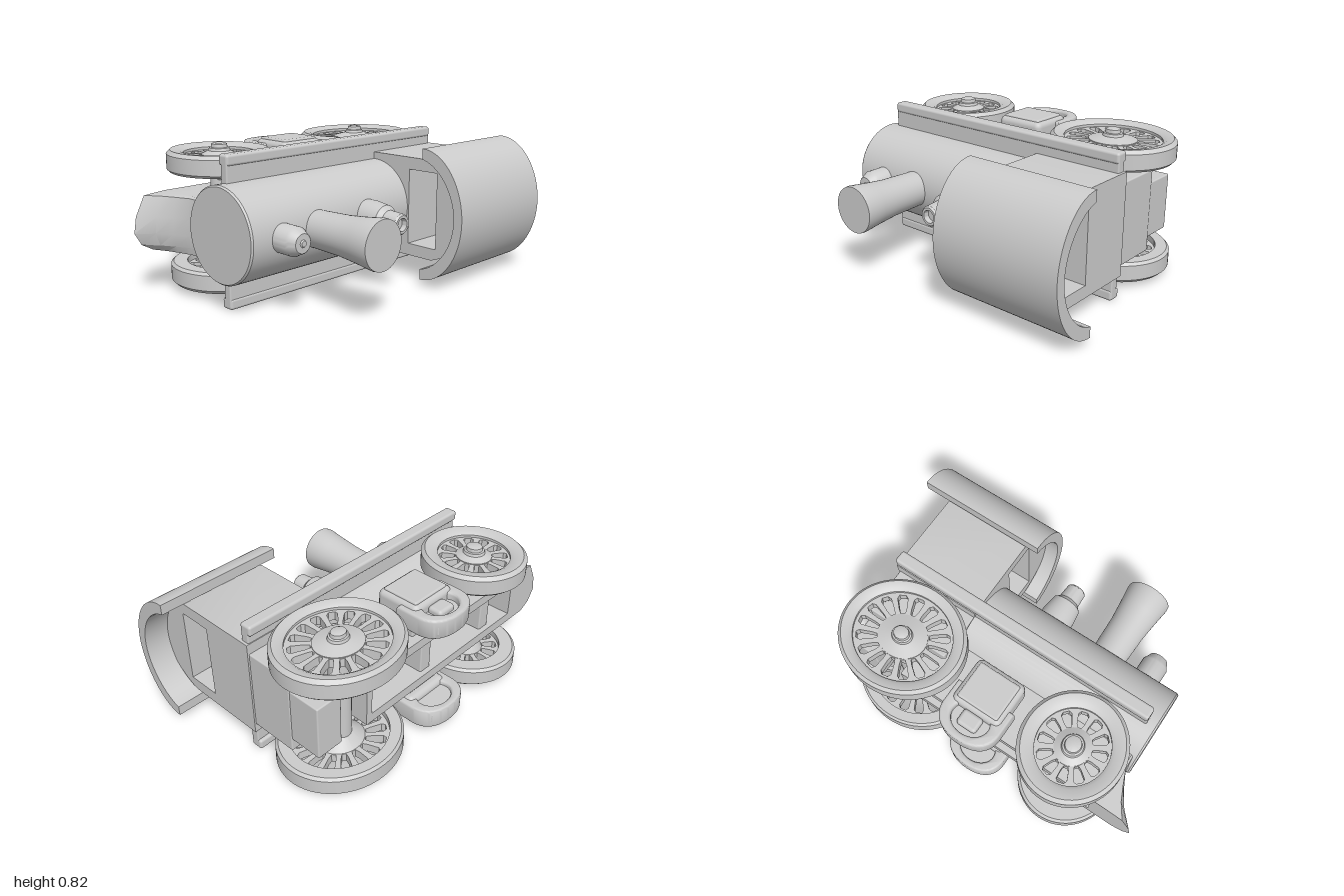
import * as THREE from 'three';
import { toCreasedNormals } from 'three/addons/utils/BufferGeometryUtils.js';
import { RoundedBoxGeometry } from 'three/addons/geometries/RoundedBoxGeometry.js';

const material = new THREE.MeshStandardMaterial({ color: 0xcccccc });
const V = (x, y) => new THREE.Vector2(x, y);

function add(parent, name, geometry, x = 0, y = 0, z = 0) {
  const mesh = new THREE.Mesh(geometry, material);
  mesh.name = name;
  mesh.position.set(x, y, z);
  parent.add(mesh);
  return mesh;
}

const box = (w, h, d, r = 0.008) => new RoundedBoxGeometry(w, h, d, 2, r);
const lathe = (points, segments = 48) =>
  toCreasedNormals(new THREE.LatheGeometry(points.map(p => V(...p)), segments), 0.6);
const extrude = (shape, depth, curveSegments = 24) =>
  toCreasedNormals(new THREE.ExtrudeGeometry(shape, { depth, bevelEnabled: false, curveSegments }), 0.6);

// Wheel lying in the xy plane, centred on z = 0, outer face towards +z
function makeWheel(name, rx, ry, rim, spokes) {
  const wheel = new THREE.Group();
  wheel.name = name;
  const inner = rx - rim, half = 0.06;
  const rimGeo = lathe([
    [inner, -half], [rx - 0.015, -half], [rx, -half + 0.015], [rx, half - 0.02], [rx - 0.02, half],
    [inner + 0.02, half - 0.006], [inner, half - 0.02], [inner, -half]], 64).rotateX(Math.PI / 2);
  add(wheel, name + 'Rim', rimGeo);

  // Web with slots between the spokes
  const web = new THREE.Shape().absarc(0, 0, inner + 0.01, 0, Math.PI * 2);
  for (let i = 0; i < spokes; i++) {
    const a = (i + 0.5) / spokes * Math.PI * 2;
    const r0 = inner * 0.52, r1 = inner * 0.94, step = Math.PI / spokes;
    const slot = [[r0, -0.42], [r0 * 1.2, -0.6], [r1 * 0.93, -0.62], [r1, -0.35],
      [r1, 0.35], [r1 * 0.93, 0.62], [r0 * 1.2, 0.6], [r0, 0.42]]
      .map(([r, t]) => V(r * Math.cos(a + t * step), r * Math.sin(a + t * step)));
    web.holes.push(new THREE.Path(slot));
  }
  add(wheel, name + 'Spokes', extrude(web, 0.05, 32), 0, 0, -0.025);

  // Hub with a stub outside and a cone inside
  add(wheel, name + 'Hub', lathe([
    [0, -0.11], [0.04, -0.11], [inner * 0.5, -0.025], [inner * 0.5, 0.03], [0.06, 0.05],
    [0.055, 0.065], [0.045, 0.068], [0.042, 0.087], [0.03, 0.092], [0, 0.092]], 32).rotateX(Math.PI / 2));
  wheel.scale.y = ry / rx;
  return wheel;
}

export function createModel() {
  const model = new THREE.Group();
  model.name = 'toyLocomotive';
  // Engine is built upright, then laid on its side
  const engine = new THREE.Group();
  engine.name = 'engine';
  engine.rotation.x = Math.PI / 2;
  engine.position.y = 0.41;
  model.add(engine);

  // Boiler
  add(engine, 'boiler', lathe([[0, -0.6], [0.26, -0.6], [0.26, 0.55], [0.252, 0.56], [0, 0.56]], 64)
    .rotateZ(Math.PI / 2), -0.27, 0, -0.005);

  // Running board with raised lips
  add(engine, 'runningBoard', box(1.61, 0.05, 0.8), 0.035, -0.03, 0);
  for (const s of [1, -1]) add(engine, 'runningBoardLip', box(1.61, 0.074, 0.06, 0.015), 0.035, -0.037, s * 0.38);

  // Chimney and domes
  add(engine, 'chimney', lathe([[0.102, 0.15], [0.102, 0.26], [0.108, 0.45], [0.12, 0.57],
    [0.134, 0.68], [0.132, 0.7], [0, 0.7]]), -0.375, 0, -0.005);
  add(engine, 'frontDome', lathe([[0.077, 0.15], [0.077, 0.35], [0.068, 0.365], [0.055, 0.395],
    [0.05, 0.4], [0.02, 0.4], [0.015, 0.408], [0, 0.41]]), -0.625, 0, -0.005);
  add(engine, 'rearDome', lathe([[0.1, 0.15], [0.1, 0.29], [0.088, 0.38], [0.064, 0.405], [0.058, 0.49],
    [0.05, 0.5], [0.036, 0.5], [0.032, 0.47], [0, 0.47]]), 0, 0, -0.005);

  // Cab with an opening through both ends
  const cab = new THREE.Shape();
  cab.moveTo(-0.29, -0.06).lineTo(0.29, -0.06).lineTo(0.29, 0.44)
    .bezierCurveTo(0.25, 0.58, 0.14, 0.67, 0, 0.67)
    .bezierCurveTo(-0.14, 0.67, -0.25, 0.58, -0.29, 0.44);
  cab.holes.push(new THREE.Path([V(-0.22, 0.27), V(-0.22, 0.47), V(0.22, 0.47), V(0.22, 0.27)]));
  add(engine, 'cab', extrude(cab, 0.53).rotateY(Math.PI / 2), 0.325, 0, -0.015);

  // Curved overhanging roof
  const roof = new THREE.Shape();
  roof.moveTo(0.375, 0.43).bezierCurveTo(0.375, 0.59, 0.19, 0.71, 0, 0.71)
    .bezierCurveTo(-0.19, 0.71, -0.375, 0.59, -0.375, 0.43)
    .lineTo(-0.315, 0.43).bezierCurveTo(-0.29, 0.55, -0.15, 0.655, 0, 0.655)
    .bezierCurveTo(0.15, 0.655, 0.29, 0.55, 0.315, 0.43);
  add(engine, 'roof', extrude(roof, 0.76).rotateY(Math.PI / 2), 0.24, 0, -0.005);

  // Firebox under the cab and rear block
  add(engine, 'firebox', box(0.51, 0.32, 0.47), 0.59, -0.18, -0.01);
  add(engine, 'rearBlock', box(0.16, 0.22, 0.32), 0.76, -0.42, -0.01);

  // Chassis trough, with the nose sloping back as it rises
  const plan = new THREE.Shape([V(0.5, -0.16), V(0.5, 0.16), V(-0.8, 0.16), V(-0.93, 0.15),
    V(-0.985, 0.04), V(-1, -0.05), V(-0.96, -0.12), V(-0.89, -0.16)]);
  plan.holes.push(new THREE.Path([V(-0.74, -0.105), V(0.46, -0.105), V(0.46, 0.105), V(-0.74, 0.105)]));
  const chassis = new THREE.ExtrudeGeometry(plan, { depth: 0.32, bevelEnabled: false, steps: 4 });
  const p = chassis.attributes.position;
  for (let i = 0; i < p.count; i++) {
    const x = p.getX(i), t = Math.pow(Math.min(p.getZ(i) / 0.25, 1), 0.75);
    if (x < -0.79) p.setX(i, THREE.MathUtils.lerp(x, -0.79 + (x + 0.79) * 0.08, t));
  }
  chassis.rotateX(-Math.PI / 2);
  add(engine, 'chassis', toCreasedNormals(chassis, 0.5), 0, -0.53, 0);
  add(engine, 'chassisFloor', box(1.24, 0.08, 0.24), -0.14, -0.27, 0);
  for (const x of [-0.53, 0]) add(engine, 'chassisCrossbar', box(0.08, 0.2, 0.22), x, -0.4, 0);

  // Axles
  for (const [x, r] of [[-0.53, 0.045], [0.56, 0.06]])
    add(engine, 'axle', new THREE.CylinderGeometry(r, r, 0.58, 24).rotateX(Math.PI / 2), x, -0.4, 0);

  // Running gear on both sides
  for (const s of [1, -1]) {
    const side = new THREE.Group();
    side.name = s > 0 ? 'lowerSideGear' : 'upperSideGear';
    if (s < 0) side.rotation.y = Math.PI;
    engine.add(side);

    const front = makeWheel('frontWheel', 0.285, 0.303, 0.09, 12);
    front.position.set(-0.525 * s, -0.39, 0.317);
    const rear = makeWheel('rearWheel', 0.36, 0.318, 0.08, 16);
    rear.position.set(0.555 * s, -0.392, 0.317);
    side.add(front, rear);

    // Small middle wheel with the steam chest over it
    const middle = new THREE.Group();
    middle.name = 'cylinderUnit';
    middle.position.set(-0.01 * s, 0, 0);
    side.add(middle);
    const ring = new THREE.Shape();
    ring.moveTo(-0.175, -0.42).lineTo(-0.175, -0.56)
      .bezierCurveTo(-0.17, -0.65, -0.1, -0.692, 0, -0.692)
      .bezierCurveTo(0.1, -0.692, 0.17, -0.65, 0.175, -0.56).lineTo(0.175, -0.42);
    const opening = new THREE.Path().absellipse(0, -0.565, 0.11, 0.085, 0, Math.PI * 2);
    ring.holes.push(opening);
    const ringGeo = new THREE.ExtrudeGeometry(ring, {
      depth: 0.085, bevelThickness: 0.015, bevelSize: 0.012, bevelOffset: -0.012, bevelSegments: 3, curveSegments: 20 });
    add(middle, 'middleWheelRim', toCreasedNormals(ringGeo, 0.7), 0, 0, 0.262);
    add(middle, 'middleWheelDisc', box(0.26, 0.2, 0.05), 0, -0.56, 0.295);
    add(middle, 'middleWheelHub', box(0.12, 0.09, 0.05, 0.02), 0, -0.57, 0.33);
    add(middle, 'steamChest', box(0.3, 0.27, 0.15, 0.035), 0, -0.395, 0.308);
    add(middle, 'steamChestCover', box(0.25, 0.22, 0.03, 0.012), 0, -0.395, 0.378);
    add(middle, 'steamChestBracket', box(0.22, 0.16, 0.14), 0, -0.4, 0.2);
  }
  return model;
}
